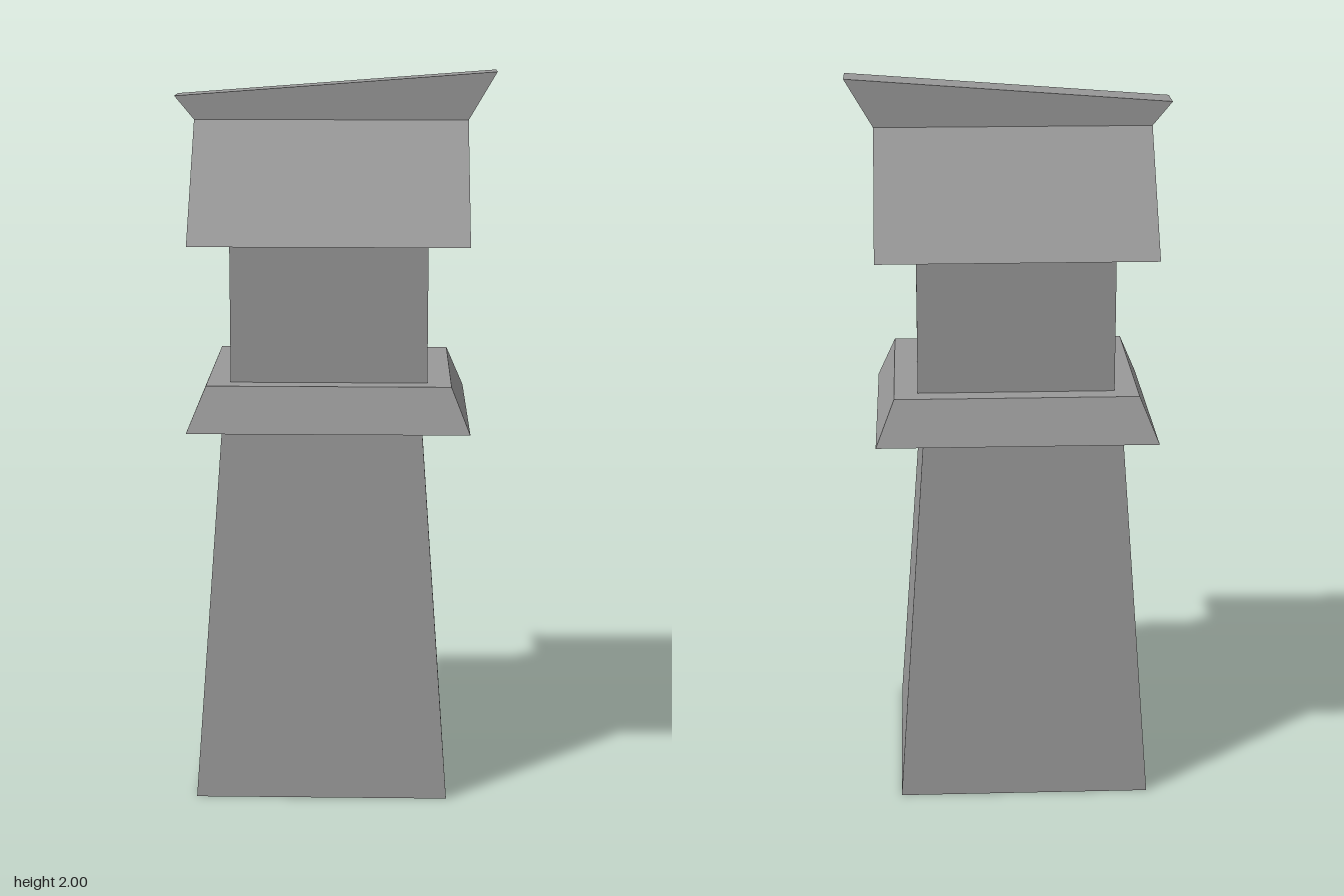
import * as THREE from 'three';

// Box whose lower and upper rectangles are [xMin, xMax, zMin, zMax].
// y1 is the top height at the left and right ends: [at xMin, at xMax].
function taperedBlock(name, material, y0, y1, lower, upper, capped = true) {
  const geometry = new THREE.BoxGeometry(1, 1, 1);
  const p = geometry.attributes.position;
  for (let i = 0; i < p.count; i++) {
    const isTop = p.getY(i) > 0;
    const xi = p.getX(i) > 0 ? 1 : 0;
    const zi = p.getZ(i) > 0 ? 3 : 2;
    const r = isTop ? upper : lower;
    p.setXYZ(i, r[xi], isTop ? y1[xi] : y0, r[zi]);
  }
  // Drop the top and bottom faces of an open sleeve
  if (!capped) {
    const index = Array.from(geometry.index.array);
    index.splice(12, 12);
    geometry.setIndex(index);
  }
  geometry.clearGroups();
  geometry.computeVertexNormals();
  const mesh = new THREE.Mesh(geometry, material);
  mesh.name = name;
  return mesh;
}

export function createModel() {
  const stone = new THREE.MeshStandardMaterial({ color: 0x999999, flatShading: true, side: THREE.DoubleSide });
  stone.name = 'grey stone';

  const model = new THREE.Group();
  model.name = 'chimneyTower';

  const neck = [-0.283, 0.257, -0.242, 0.242];
  const roofTop = [-0.392, 0.368, -0.066, 0.038];

  model.add(
    // Tapering hollow shaft, open underneath
    taperedBlock('shaft', stone, 0, [1.045, 1.045],
      [-0.382, 0.318, -0.352, 0.352], [-0.307, 0.243, -0.259, 0.259], false),
    // Sloped collar around the shaft top
    taperedBlock('collar', stone, 1.045, [1.168, 1.168],
      [-0.399, 0.373, -0.346, 0.346], [-0.347, 0.322, -0.297, 0.297]),
    // Straight neck between collar and roof
    taperedBlock('neck', stone, 1.168, [1.554, 1.554], neck, neck, false),
    // Gabled roof with a narrow flat top
    taperedBlock('roof', stone, 1.554, [1.868, 1.868],
      [-0.392, 0.368, -0.334, 0.334], roofTop),
    // Flared ridge beam, higher at its left end
    taperedBlock('ridgeBeam', stone, 1.868, [1.933, 2.0],
      roofTop, [-0.446, 0.446, -0.066, 0.038]),
  );
  return model;
}
